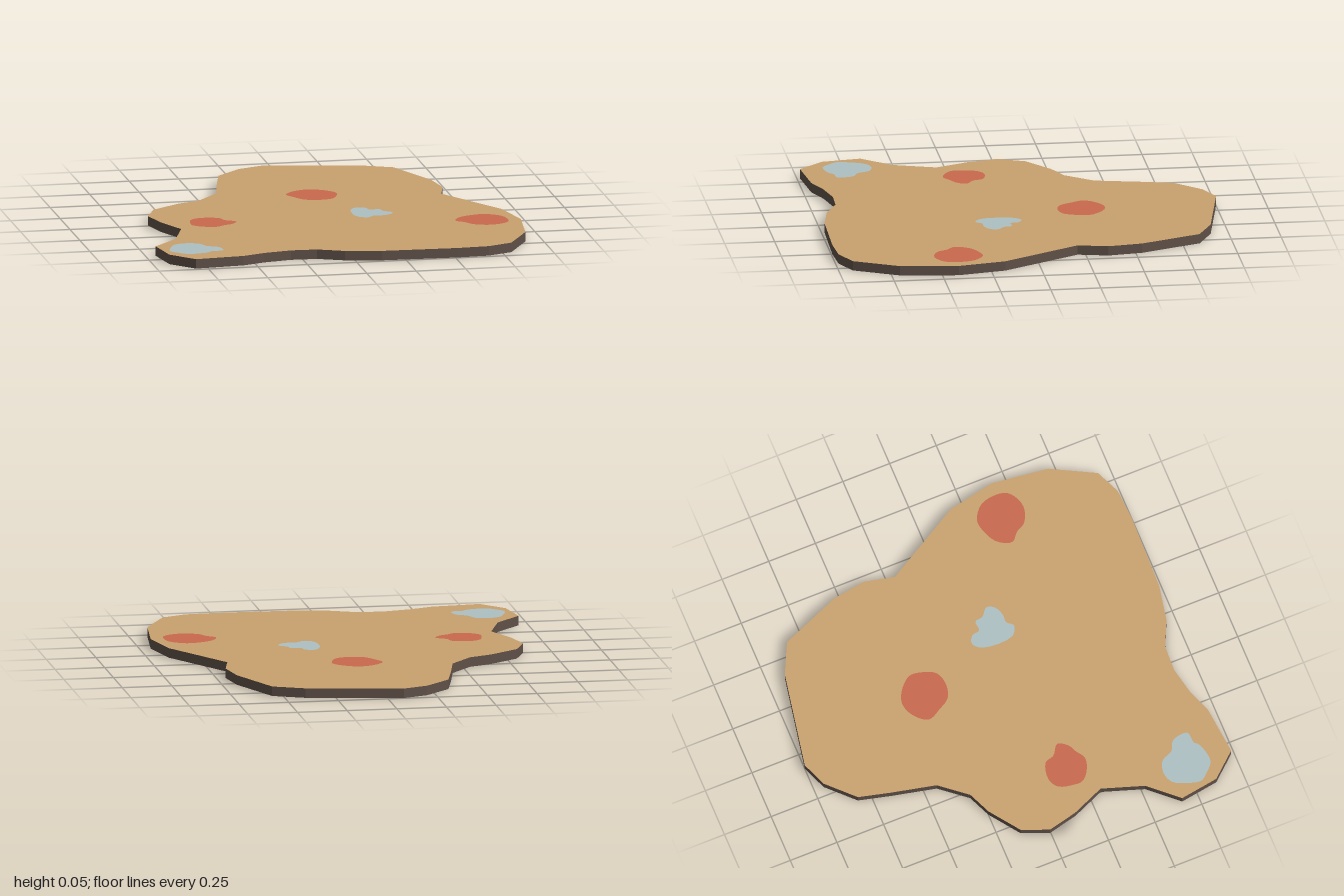
import * as THREE from 'three';

const HEIGHT = 0.05;
const SKIN = 0.001; // how far the painted spots sit proud of the slab

const mat = (name, color) => Object.assign(new THREE.MeshStandardMaterial({ color }), { name });

// outline of the slab as x, z pairs
const OUTLINE = [
  -0.08, -1, 0.4, -0.91, 0.555, -0.835, 0.68, -0.53, 0.705, -0.36, 0.67, -0.21, 0.785, -0.01,
  0.895, 0.18, 0.945, 0.42, 0.91, 0.71, 0.795, 0.93, 0.67, 0.985, 0.51, 0.995, 0.13, 0.985,
  -0.05, 0.95, -0.18, 0.89, -0.31, 0.885, -0.45, 0.915, -0.565, 0.96, -0.81, 0.985, -0.92, 0.86,
  -0.95, 0.665, -0.82, 0.52, -0.75, 0.31, -0.82, 0.145, -0.855, -0.005, -0.8, -0.14, -0.65, -0.25,
  -0.535, -0.3, -0.425, -0.435, -0.375, -0.66, -0.335, -0.82, -0.205, -0.95,
];

// spot outlines as x, z pairs
const RED_SPOTS = {
  backRedSpot: [-0.09, -0.34, -0.03, -0.41, 0.04, -0.43, 0.11, -0.4, 0.16, -0.34, 0.155, -0.28,
    0.12, -0.21, 0.05, -0.19, -0.02, -0.21, -0.06, -0.27],
  rightRedSpot: [-0.68, 0.19, -0.66, 0.12, -0.61, 0.09, -0.52, 0.11, -0.5, 0.16, -0.45, 0.2,
    -0.48, 0.25, -0.52, 0.27, -0.57, 0.3, -0.64, 0.28, -0.68, 0.24],
  leftRedSpot: [0.62, 0.4, 0.65, 0.33, 0.72, 0.29, 0.79, 0.28, 0.86, 0.33, 0.88, 0.4,
    0.87, 0.47, 0.82, 0.51, 0.76, 0.52, 0.69, 0.49, 0.66, 0.44],
};
const BLUE_SPOTS = {
  middleBlueSpot: [0.16, 0.05, 0.2, 0.01, 0.24, 0.03, 0.25, 0.07, 0.3, 0.07, 0.31, 0.11,
    0.35, 0.15, 0.33, 0.19, 0.28, 0.21, 0.24, 0.21, 0.21, 0.24, 0.16, 0.21],
  cornerBlueSpot: [-0.89, 0.73, -0.85, 0.65, -0.79, 0.63, -0.73, 0.65, -0.7, 0.71, -0.65, 0.74,
    -0.64, 0.82, -0.7, 0.83, -0.72, 0.85, -0.82, 0.87, -0.87, 0.83, -0.9, 0.79],
};

const toPoints = (flat) =>
  Array.from({ length: flat.length / 2 }, (_, i) => new THREE.Vector2(flat[2 * i], flat[2 * i + 1]));

// rounded closed loop through the given points
function smoothLoop(points) {
  const curve = new THREE.CatmullRomCurve3(points.map((p) => new THREE.Vector3(p.x, p.y, 0)), true);
  return curve.getPoints(48).slice(0, -1).map((p) => new THREE.Vector2(p.x, p.y));
}

// the underside pattern is the top one mirrored, turned and kept inside the front edge
function toUnderside(p) {
  const angle = THREE.MathUtils.degToRad(24);
  const q = new THREE.Vector2(-p.x, p.y).rotateAround(new THREE.Vector2(), angle);
  q.x += 0.115;
  q.y -= 0.02;
  q.y = Math.min(q.y, 0.984, 0.984 - (q.x - 0.67) * 0.44);
  return q;
}

export function createModel() {
  const group = new THREE.Group();
  const tan = mat('tan', 0xc9a16d);
  const brown = mat('dark brown', 0x5f5048);
  const red = mat('brick red', 0xc8684c);
  const blue = mat('pale blue', 0xadc0c3);

  // slab with tan faces and a dark rim
  const shape = new THREE.Shape(toPoints(OUTLINE).map((p) => new THREE.Vector2(p.x, -p.y)));
  const slabGeometry = new THREE.ExtrudeGeometry(shape, { depth: HEIGHT - 2 * SKIN, bevelEnabled: false });
  slabGeometry.rotateX(-Math.PI / 2).translate(0, SKIN, 0);
  const slab = new THREE.Mesh(slabGeometry, [tan, brown]);
  slab.name = 'slab';
  group.add(slab);

  // flat spots on both faces
  function addSpots(spots, material) {
    for (const [name, flat] of Object.entries(spots)) {
      const loop = smoothLoop(toPoints(flat));

      const topShape = new THREE.Shape(loop.map((p) => new THREE.Vector2(p.x, -p.y)));
      const top = new THREE.Mesh(new THREE.ShapeGeometry(topShape).rotateX(-Math.PI / 2), material);
      top.position.y = HEIGHT;
      top.name = name + 'Top';

      const underShape = new THREE.Shape(loop.map(toUnderside));
      const under = new THREE.Mesh(new THREE.ShapeGeometry(underShape).rotateX(Math.PI / 2), material);
      under.name = name + 'Underside';

      group.add(top, under);
    }
  }
  addSpots(RED_SPOTS, red);
  addSpots(BLUE_SPOTS, blue);

  return group;
}
